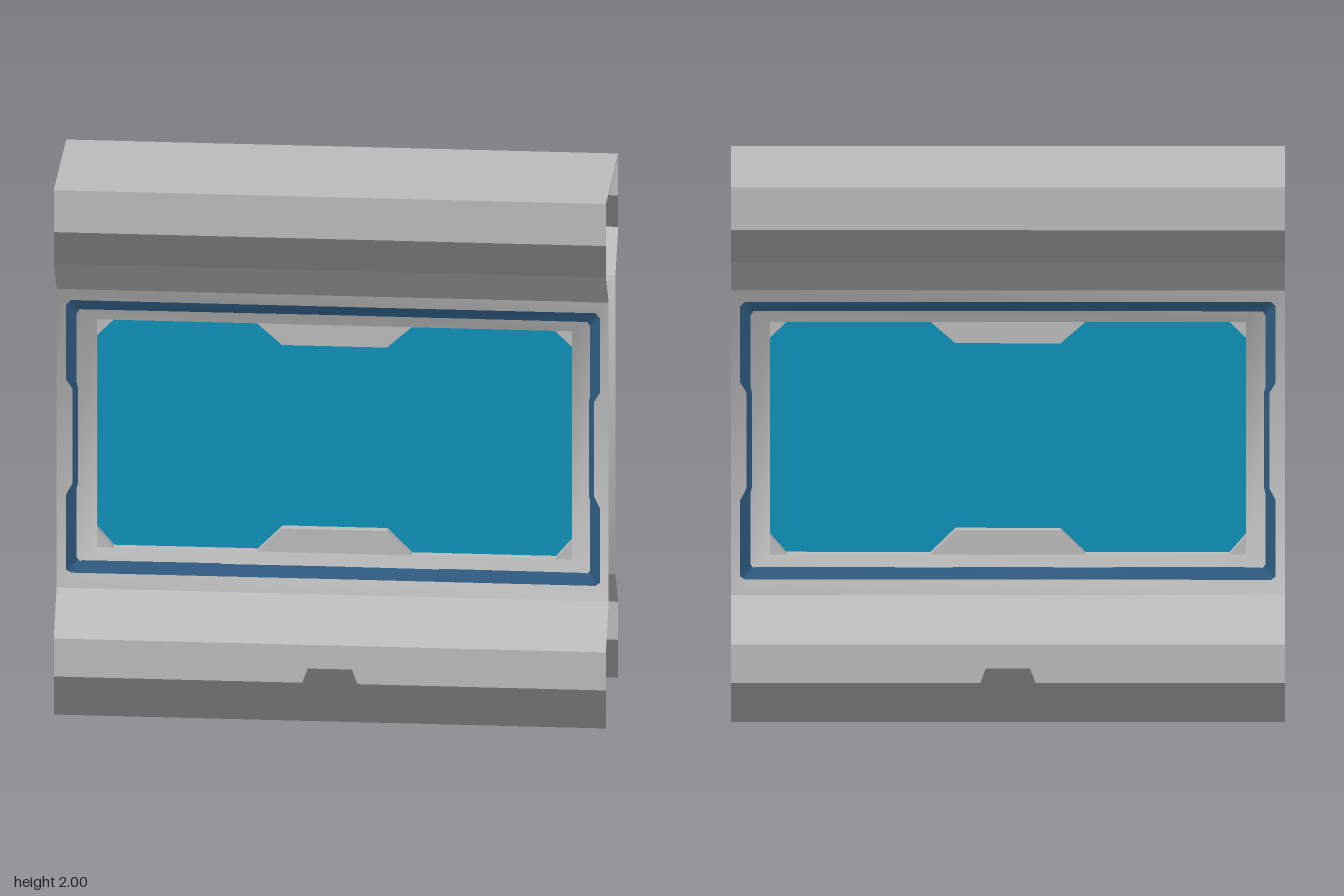
import * as THREE from 'three';

const mat = (name, color) =>
  new THREE.MeshStandardMaterial({ name, color, side: THREE.DoubleSide });

// Sheet stretched between two matching rows of [x, y, z] points
function sheet(a, b) {
  const pos = [], idx = [];
  a.forEach((p, i) => pos.push(...p, ...b[i]));
  for (let i = 0; i < a.length - 1; i++) {
    const k = i * 2;
    idx.push(k, k + 1, k + 2, k + 1, k + 3, k + 2);
  }
  const g = new THREE.BufferGeometry();
  g.setAttribute('position', new THREE.Float32BufferAttribute(pos, 3));
  g.setIndex(idx);
  g.computeVertexNormals();
  return g;
}

const flat = (pts, z) =>
  new THREE.ShapeGeometry(new THREE.Shape(pts.map(p => new THREE.Vector2(...p)))).translate(0, 0, z);

export function createModel() {
  const light = mat('light grey panel', 0xbababa);
  const dark = mat('dark grey panel', 0x707070);
  const trimBlue = mat('blue trim', 0x2e5a80);
  const glass = mat('window blue', 0x0f90b8);

  const model = new THREE.Group();
  model.name = 'windowWall';
  const add = (parent, name, geo, m) => {
    const mesh = new THREE.Mesh(geo, m);
    mesh.name = name;
    parent.add(mesh);
  };

  const D = 0.285, P = 0.155, W = 0.075, G = 0.04; // depths: shell, panel, window frame, glass
  const top = 1.58, bottom = 0.44, winTop = 1.44, winBottom = 0.57, winX = 0.86;
  const band = (y0, z0, y1, z1) =>
    sheet([[-1, y1, z1], [1, y1, z1]], [[-1, y0, z0], [1, y0, z0]]);

  // Window outline: chamfered corners and a notch above and below
  const outline = [
    [0.80, winBottom], [winX, 0.64], [winX, 1.38], [0.80, winTop],
    [0.28, winTop], [0.19, 1.36], [-0.19, 1.36], [-0.28, winTop],
    [-0.80, winTop], [-winX, 1.38], [-winX, 0.64], [-0.80, winBottom],
    [-0.28, winBottom], [-0.19, 0.66], [0.19, 0.66], [0.28, winBottom],
  ];

  // Height of the sloping surround at any point
  const surroundZ = (x, y) => {
    const t = Math.min((1 - Math.abs(x)) / 0.14, (top - y) / 0.14, (y - bottom) / 0.13);
    return P - (P - W) * t;
  };

  // Half of the trim as [outer, inner] pairs, then mirrored top to bottom
  const upper = [
    [[0, 1.53], [0, 1.49]], [[0.95, 1.53], [0.92, 1.49]], [[0.967, 1.515], [0.93, 1.475]],
    [[0.967, 1.23], [0.93, 1.21]], [[0.945, 1.19], [0.925, 1.19]],
  ];
  const flip = ([x, y]) => [x, 2.02 - y];
  const trimPairs = [...upper, ...upper.map(pair => pair.map(flip)).reverse()];

  for (const [sideName, turn] of [['front', 0], ['back', Math.PI]]) {
    const side = new THREE.Group();
    side.name = sideName + 'Side';
    side.rotation.y = turn;
    model.add(side);

    // Upper and lower overhangs
    add(side, 'upperFascia', band(1.84, D, 2, D), light);
    add(side, 'upperDarkBand', band(1.72, D, 1.84, D), dark);
    add(side, 'upperSlope', band(top, P, 1.72, D), light);
    add(side, 'lowerSlope', band(0.29, D, bottom, P), light);
    const step = [[-1, 0.145], [-0.1, 0.145], [-0.08, 0.2], [0.08, 0.2], [0.1, 0.145], [1, 0.145]];
    add(side, 'lowerFascia', flat([...step, [1, 0.29], [-1, 0.29]], D), light);
    add(side, 'lowerDarkBand', flat([[-1, 0], [1, 0], ...step.slice().reverse()], D), dark);

    // Sloping surround, smooth across its corners
    const ring = (x, y0, y1, z) => [[x, y0, z], [x, y1, z], [-x, y1, z], [-x, y0, z]];
    const g = new THREE.BufferGeometry();
    g.setAttribute('position', new THREE.Float32BufferAttribute(
      [...ring(1, bottom, top, P), ...ring(winX, winBottom, winTop, W)].flat(), 3));
    const idx = [];
    for (let i = 0; i < 4; i++) {
      const j = (i + 1) % 4;
      idx.push(i, j, i + 4, j, j + 4, i + 4);
    }
    g.setIndex(idx);
    g.computeVertexNormals();
    add(side, 'windowSurround', g, light);

    // Corner fillers and notch plates around the window
    const frame = new THREE.Shape([[-winX, winBottom], [winX, winBottom], [winX, winTop], [-winX, winTop]]
      .map(p => new THREE.Vector2(...p)));
    const pieces = [
      [outline[0], [winX, winBottom], outline[1]],
      [outline[2], [winX, winTop], outline[3]],
      [outline[8], [-winX, winTop], outline[9]],
      [outline[10], [-winX, winBottom], outline[11]],
      outline.slice(4, 8), outline.slice(12, 16),
    ];
    pieces.forEach(p => add(side, p.length === 4 ? 'notchPlate' : 'cornerPlate', flat(p, W), light));

    add(side, 'windowPane', flat(outline, G), glass);

    // Blue trim, visible on both faces of the surround
    for (const sx of [1, -1]) {
      for (const lift of [0.004, -0.004]) {
        const row = k => trimPairs.map(pair => {
          const [x, y] = pair[k];
          return [sx * x, y, surroundZ(x, y) + lift];
        });
        const [a, b] = sx > 0 ? [row(0), row(1)] : [row(1), row(0)];
        add(side, 'trim', sheet(a, b).toNonIndexed(), trimBlue);
      }
    }
  }

  // Tunnel wall joining the two window openings
  const loop = [...outline, outline[0]];
  const tunnel = sheet(loop.map(p => [...p, W]), loop.map(p => [...p, -W])).toNonIndexed();
  tunnel.computeVertexNormals();
  add(model, 'windowTunnel', tunnel, light);

  // Roof with dark lining
  const roof = y => sheet([[-1, y, -D], [1, y, -D]], [[-1, y, D], [1, y, D]]);
  add(model, 'roof', roof(2), light);
  add(model, 'roofLining', roof(1.995), dark);

  return model;
}
